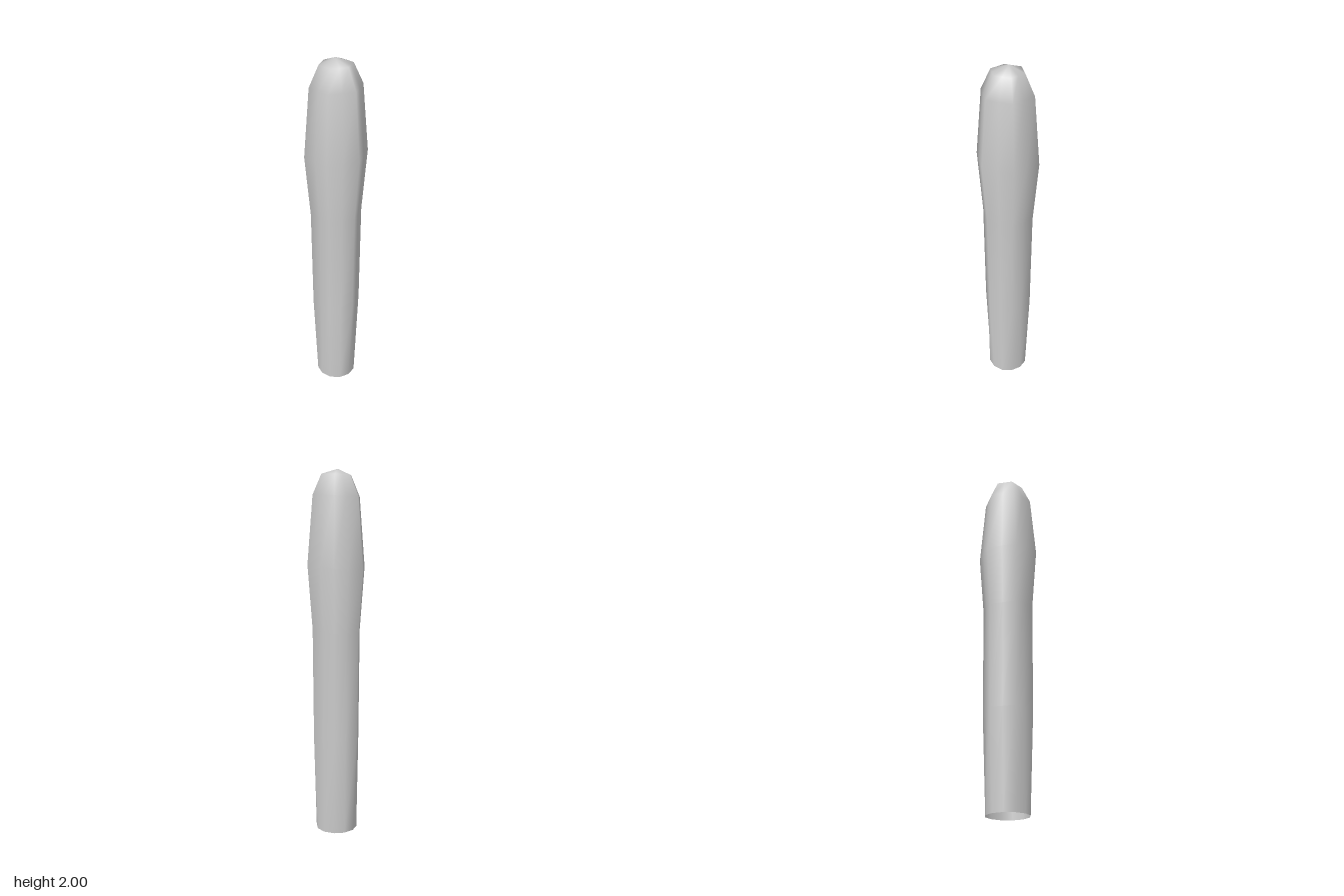
import * as THREE from 'three';

const SIDES = 12;

// Cross-sections from the bottom up: height, half width, half depth, tilt, hexagonal or round
const RINGS = [
  { y: 0, rx: 0.115, rz: 0.115, tilt: 0, hex: false },
  { y: 0.54, rx: 0.141, rz: 0.115, tilt: 0.05, hex: true },
  { y: 1.14, rx: 0.147, rz: 0.118, tilt: 0.1, hex: true },
  { y: 1.49, rx: 0.175, rz: 0.142, tilt: 0.1, hex: true },
  { y: 1.86, rx: 0.143, rz: 0.115, tilt: 0.05, hex: true },
  { y: 1.97, rx: 0.09, rz: 0.073, tilt: 0.05, hex: true },
];

// Point k of a ring; on a hexagon the odd points sit midway along its sides
function ringPoint(ring, k) {
  const angle = (k / SIDES) * Math.PI * 2;
  const hexagonal = ring.hex && k % 2 === 1;
  const r = hexagonal ? Math.cos(Math.PI / 6) : 1;
  const depth = ring.hex ? ring.rz / Math.sin(Math.PI / 3) : ring.rz;
  const x = Math.cos(angle) * r * ring.rx;
  const z = Math.sin(angle) * r * depth;
  return [x, ring.y + ring.tilt * x, z];
}

function shaftGeometry() {
  const positions = [];
  const indices = [];
  for (const ring of RINGS) {
    for (let k = 0; k < SIDES; k++) positions.push(...ringPoint(ring, k));
  }
  const apex = positions.length / 3;
  positions.push(-0.008, 2, 0);

  // Side wall
  for (let i = 0; i < RINGS.length - 1; i++) {
    for (let k = 0; k < SIDES; k++) {
      const a = i * SIDES + k;
      const c = i * SIDES + ((k + 1) % SIDES);
      indices.push(a, a + SIDES, c, c, a + SIDES, c + SIDES);
    }
  }
  // Domed tip
  const last = (RINGS.length - 1) * SIDES;
  for (let k = 0; k < SIDES; k++) {
    indices.push(last + k, apex, last + ((k + 1) % SIDES));
  }

  const geometry = new THREE.BufferGeometry();
  geometry.setAttribute('position', new THREE.Float32BufferAttribute(positions, 3));
  geometry.setIndex(indices);
  geometry.computeVertexNormals();
  return geometry;
}

export function createModel() {
  const group = new THREE.Group();
  group.name = 'roundedShaft';

  // Open-bottomed shaft with a bulged upper end
  const material = new THREE.MeshStandardMaterial({ color: 0xcccccc, side: THREE.DoubleSide });
  const shaft = new THREE.Mesh(shaftGeometry(), material);
  shaft.name = 'shaft';
  group.add(shaft);
  return group;
}
